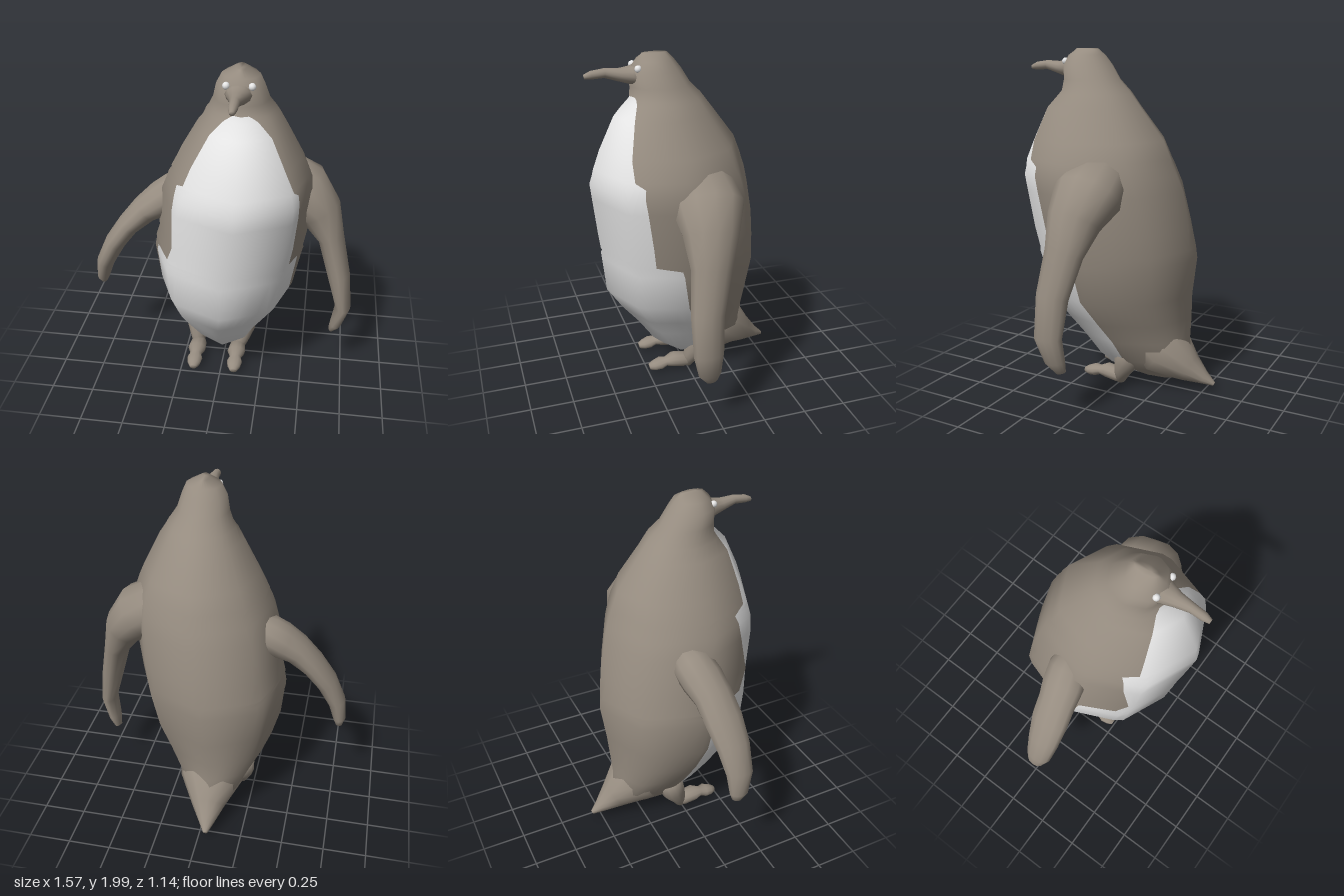
import * as THREE from 'three';

const V = (x, y, z) => new THREE.Vector3(x, y, z);

// Smooth capped skin over closed rings; isPale(row, column) picks the second material
function loft(rings, isPale = () => false) {
  const n = rings[0].length, m = rings.length, dark = [], pale = [];
  const points = rings.flat();
  for (const ring of [rings[0], rings[m - 1]]) {
    points.push(ring.reduce((sum, p) => sum.add(p), V(0, 0, 0)).divideScalar(n));
  }
  for (let j = 0; j < n; j++) {
    const k = (j + 1) % n, top = (m - 1) * n;
    for (let i = 0; i < m - 1; i++) {
      const a = i * n + j, b = i * n + k;
      (isPale(i, j) ? pale : dark).push(a, b, b + n, a, b + n, a + n);
    }
    dark.push(m * n, k, j, m * n + 1, top + j, top + k);
  }
  const geo = new THREE.BufferGeometry().setFromPoints(points);
  geo.setIndex([...dark, ...pale]);
  geo.addGroup(0, dark.length, 0);
  if (pale.length) geo.addGroup(dark.length, pale.length, 1);
  geo.computeVertexNormals();
  return geo;
}

// Oval sections [x, y, z, half width, half depth] along a path
function limb(sections, ref, sides = 12) {
  const centres = sections.map(([x, y, z]) => V(x, y, z));
  return loft(sections.map(([, , , a, b], i) => {
    const t = centres[Math.min(i + 1, centres.length - 1)].clone()
      .sub(centres[Math.max(i - 1, 0)]).normalize();
    const s = t.clone().cross(ref).normalize(), o = t.clone().cross(s);
    return Array.from({ length: sides }, (_, j) => {
      const q = j / sides * Math.PI * 2;
      return centres[i].clone().addScaledVector(s, Math.cos(q) * a).addScaledVector(o, Math.sin(q) * b);
    });
  }));
}

// Linear lookup in a table whose rows start with y
function sampler(table) {
  const curve = new THREE.LinearInterpolant(
    table.map((r) => r[0]), table.flatMap((r) => r.slice(1)), table[0].length - 1);
  return (y) => [...curve.evaluate(y)];
}

// Body and head: y, x min, x max, z back, z front
const bodyTable = [
  [0.06, -0.08, 0.01, -0.32, -0.2],
  [0.09, -0.12, 0.08, -0.38, -0.02],
  [0.14, -0.17, 0.14, -0.4, 0.12],
  [0.2, -0.22, 0.19, -0.415, 0.19],
  [0.33, -0.3, 0.26, -0.405, 0.28],
  [0.45, -0.355, 0.33, -0.415, 0.38],
  [0.6, -0.4, 0.42, -0.425, 0.48],
  [0.82, -0.43, 0.47, -0.455, 0.505],
  [1.0, -0.395, 0.5, -0.43, 0.53],
  [1.22, -0.36, 0.52, -0.385, 0.56],
  [1.31, -0.33, 0.52, -0.355, 0.57],
  [1.4, -0.29, 0.5, -0.32, 0.545],
  [1.5, -0.24, 0.455, -0.28, 0.51],
  [1.68, -0.13, 0.36, -0.14, 0.425],
  [1.77, -0.075, 0.305, -0.07, 0.335],
  [1.83, -0.045, 0.265, -0.01, 0.33],
  [1.91, -0.025, 0.24, 0.04, 0.335],
  [1.965, 0.005, 0.215, 0.085, 0.3],
  [2.0, 0.08, 0.14, 0.12, 0.26],
];

// White front: y, angle reached on the right and on the left
const whiteTable = [
  [0.08, 60, 60],
  [0.14, 75, 75],
  [0.2, 82, 82],
  [0.33, 86, 86],
  [0.6, 84, 82],
  [0.86, 78, 76],
  [0.885, 52, 58],
  [1.0, 46, 58],
  [1.22, 56, 58],
  [1.36, 62, 58],
  [1.395, 50, 50],
  [1.5, 48, 46],
  [1.68, 42, 42],
  [1.75, 28, 28],
  [1.78, 14, 14],
];
const bodyAt = sampler(bodyTable), whiteAt = sampler(whiteTable);

// Point on the body's oval section, slightly leaning to the left in front
function ovalPoint(y, deg) {
  const [x0, x1, z0, z1] = bodyAt(y), q = THREE.MathUtils.degToRad(deg);
  const dz = Math.cos(q) * (z1 - z0) / 2;
  return V((x0 + x1) / 2 + Math.sin(q) * (x1 - x0) / 2 + dz * 0.06, y, (z0 + z1) / 2 + dz);
}

// The same section with eight straight sides
function bodyPoint(y, deg) {
  const corner = Math.floor(deg / 45) * 45;
  return ovalPoint(y, corner).lerp(ovalPoint(y, corner + 45), (deg - corner) / 45);
}

// Soft normal taken from the rounded section
function bodyNormal(y, deg) {
  const low = Math.max(y - 0.08, 0.06), high = Math.min(y + 0.08, 2);
  const across = ovalPoint(y, deg + 5).sub(ovalPoint(y, deg - 5));
  return across.cross(ovalPoint(high, deg).sub(ovalPoint(low, deg))).normalize();
}

function bodyGeometry() {
  const front = 20, back = 28;
  const heights = [...new Set([...bodyTable, ...whiteTable].map((r) => r[0]))].sort((a, b) => a - b);
  const angles = heights.map((y) => {
    const [right, left] = whiteAt(y);
    return Array.from({ length: front + back }, (_, j) => j <= front
      ? -right + (right + left) * j / front
      : left + (360 - left - right) * (j - front) / back);
  });
  const onRings = (fn) => heights.map((y, i) => angles[i].map((deg) => fn(y, deg)));
  const geo = loft(onRings(bodyPoint), (i, j) => j < front && heights[i] >= 0.08 && heights[i + 1] <= 1.78);
  onRings(bodyNormal).flat().forEach((n, i) => geo.attributes.normal.setXYZ(i, n.x, n.y, n.z));
  return geo;
}

export function createModel() {
  const group = new THREE.Group();
  const plumage = new THREE.MeshStandardMaterial({ name: 'greyBrown', color: 0x968c80 });
  const white = new THREE.MeshStandardMaterial({ name: 'bellyWhite', color: 0xe6e6e6 });
  const add = (name, geo, material = plumage) => {
    const mesh = new THREE.Mesh(geo, material);
    mesh.name = name;
    group.add(mesh);
    return mesh;
  };

  add('body', bodyGeometry(), [plumage, white]);

  // Flippers: right one swung outward, left one hanging
  const Z = V(0, 0, 1), Y = V(0, 1, 0);
  add('rightFlipper', limb([
    [-0.2, 1.22, -0.02, 0.08, 0.09],
    [-0.3, 1.165, 0, 0.11, 0.12],
    [-0.38, 1.115, 0.02, 0.105, 0.125],
    [-0.47, 1.055, 0.04, 0.085, 0.115],
    [-0.57, 0.955, 0.055, 0.068, 0.115],
    [-0.66, 0.83, 0.07, 0.062, 0.1],
    [-0.73, 0.69, 0.075, 0.053, 0.08],
    [-0.757, 0.57, 0.06, 0.037, 0.055],
    [-0.757, 0.53, 0.05, 0.02, 0.03],
  ], Z));
  add('leftFlipper', limb([
    [0.32, 1.32, 0, 0.14, 0.18],
    [0.45, 1.23, 0, 0.165, 0.2],
    [0.56, 1.11, 0.02, 0.125, 0.155],
    [0.63, 0.95, 0.04, 0.077, 0.115],
    [0.69, 0.72, 0.08, 0.067, 0.095],
    [0.732, 0.5, 0.085, 0.047, 0.085],
    [0.7, 0.36, 0.065, 0.035, 0.065],
    [0.675, 0.295, 0.045, 0.018, 0.035],
  ], Z));

  // Tail, growing out of the lower back
  add('tail', limb([
    [-0.02, 0.38, -0.12, 0.22, 0.15],
    [-0.02, 0.225, -0.26, 0.19, 0.17],
    [-0.03, 0.14, -0.41, 0.1, 0.085],
    [-0.04, 0.09, -0.5, 0.048, 0.037],
    [-0.045, 0.06, -0.562, 0.013, 0.012],
  ], Y));

  // Beak
  add('beak', limb([
    [0.11, 1.89, 0.24, 0.1, 0.075],
    [0.11, 1.888, 0.32, 0.062, 0.05],
    [0.11, 1.893, 0.38, 0.042, 0.036],
    [0.11, 1.907, 0.46, 0.027, 0.026],
    [0.11, 1.9, 0.53, 0.024, 0.023],
    [0.11, 1.892, 0.567, 0.014, 0.013],
  ], Y));

  // Eyes
  for (const [side, x] of [['right', 0.045], ['left', 0.178]]) {
    const eye = add(side + 'Eye', new THREE.SphereGeometry(0.02, 10, 8), white);
    eye.position.set(x, 1.93, 0.295);
  }

  // Legs and knobbly feet
  for (const [side, x, hip] of [['right', -0.17, -0.185], ['left', 0.085, 0.12]]) {
    add(side + 'Leg', limb([
      [hip, 0.26, -0.09, 0.075, 0.08],
      [hip, 0.165, -0.06, 0.07, 0.075],
      [(x + hip) / 2, 0.09, -0.025, 0.05, 0.05],
      [x, 0.03, 0, 0.035, 0.035],
    ], Z));
    add(side + 'Foot', limb([
      [x, 0.04, -0.035, 0.025, 0.02],
      [x, 0.055, 0.01, 0.05, 0.045],
      [x, 0.068, 0.09, 0.056, 0.043],
      [x, 0.06, 0.135, 0.035, 0.028],
      [x, 0.055, 0.17, 0.048, 0.036],
      [x, 0.045, 0.21, 0.04, 0.03],
      [x, 0.04, 0.24, 0.022, 0.018],
    ], Y));
  }
  return group;
}
